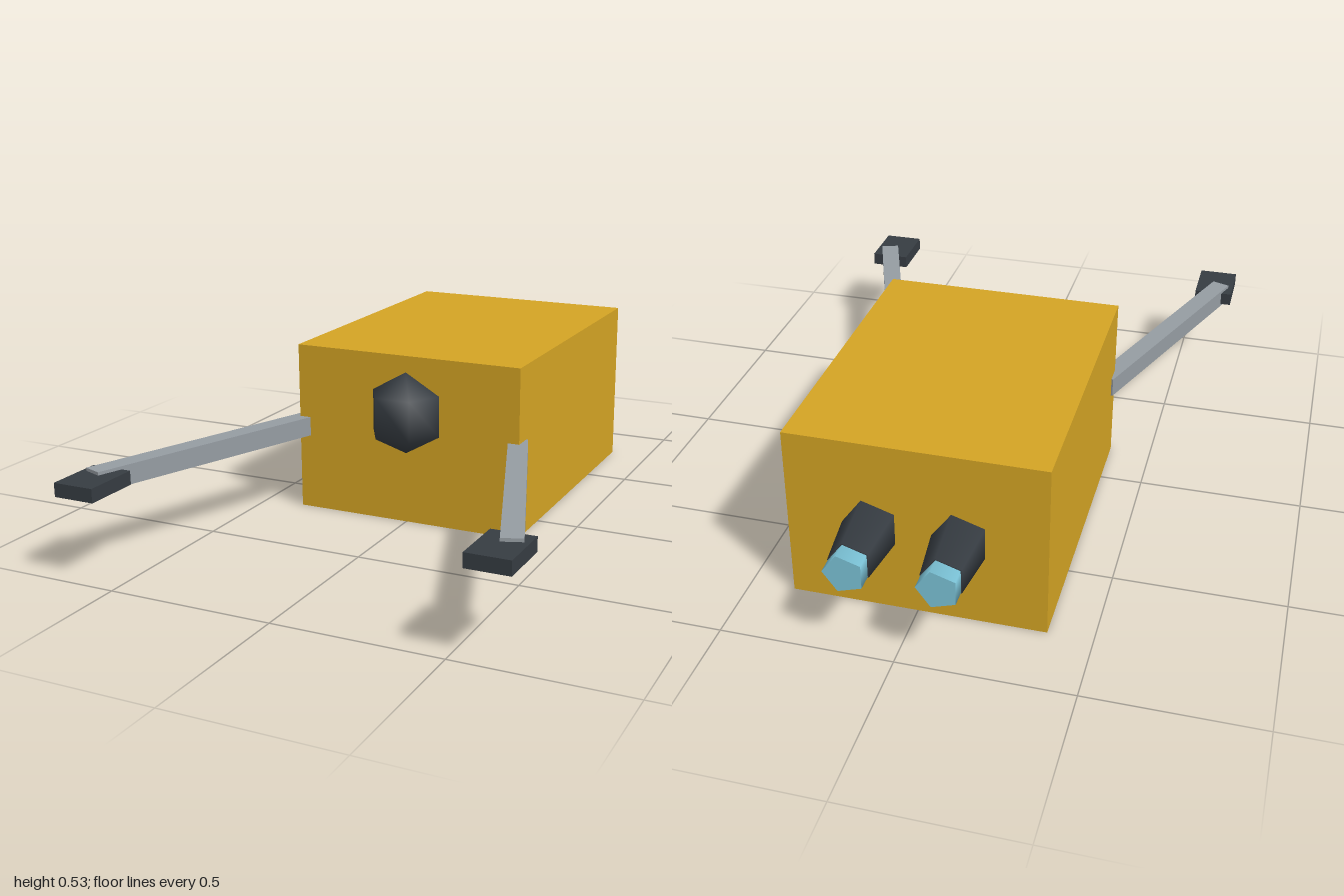
import * as THREE from 'three';

export function createModel() {
  const model = new THREE.Group();
  const makeMaterial = (name, color) => {
    const m = new THREE.MeshStandardMaterial({ color });
    m.name = name;
    return m;
  };
  const gold = makeMaterial('gold', 0xd4a424);
  const grey = makeMaterial('grey', 0x959ca2);
  const dark = makeMaterial('charcoal', 0x363c42);
  const cyan = makeMaterial('cyan', 0x7cc4d8);

  const add = (name, geometry, material, x, y, z) => {
    const mesh = new THREE.Mesh(geometry, material);
    mesh.name = name;
    mesh.position.set(x, y, z);
    model.add(mesh);
    return mesh;
  };

  // Hull, with a coarse dome set into its front
  add('body', new THREE.BoxGeometry(0.74, 0.53, 0.955), gold, 0, 0.265, -0.3025);
  add('cockpitDome', new THREE.SphereGeometry(0.128, 6, 3), dark, 0, 0.351, 0.175);

  // Five-sided tube along z, with one corner towards +x
  const tube = (rBack, rFront, length) =>
    new THREE.CylinderGeometry(rFront, rBack, length, 5).rotateY(Math.PI / 2).rotateX(Math.PI / 2);

  for (const side of [1, -1]) {
    const label = side > 0 ? 'left' : 'right';

    // Splayed arm ending in a flat gripper pad
    const arm = add(label + 'Arm', new THREE.BoxGeometry(0.06, 0.06, 0.815), grey, side * 0.487, 0.268, 0.507);
    arm.rotation.y = side * 0.35;
    add(label + 'Gripper', new THREE.BoxGeometry(0.126, 0.041, 0.172), dark, side * 0.607, 0.268, 0.914);

    // Rear thruster with glowing tip
    add(label + 'Thruster', tube(0.063, 0.0846, 0.18), dark, side * 0.127, 0.268, -0.86);
    add(label + 'ThrusterGlow', tube(0.06, 0.06, 0.055), cyan, side * 0.127, 0.268, -0.9725);
  }
  return model;
}
